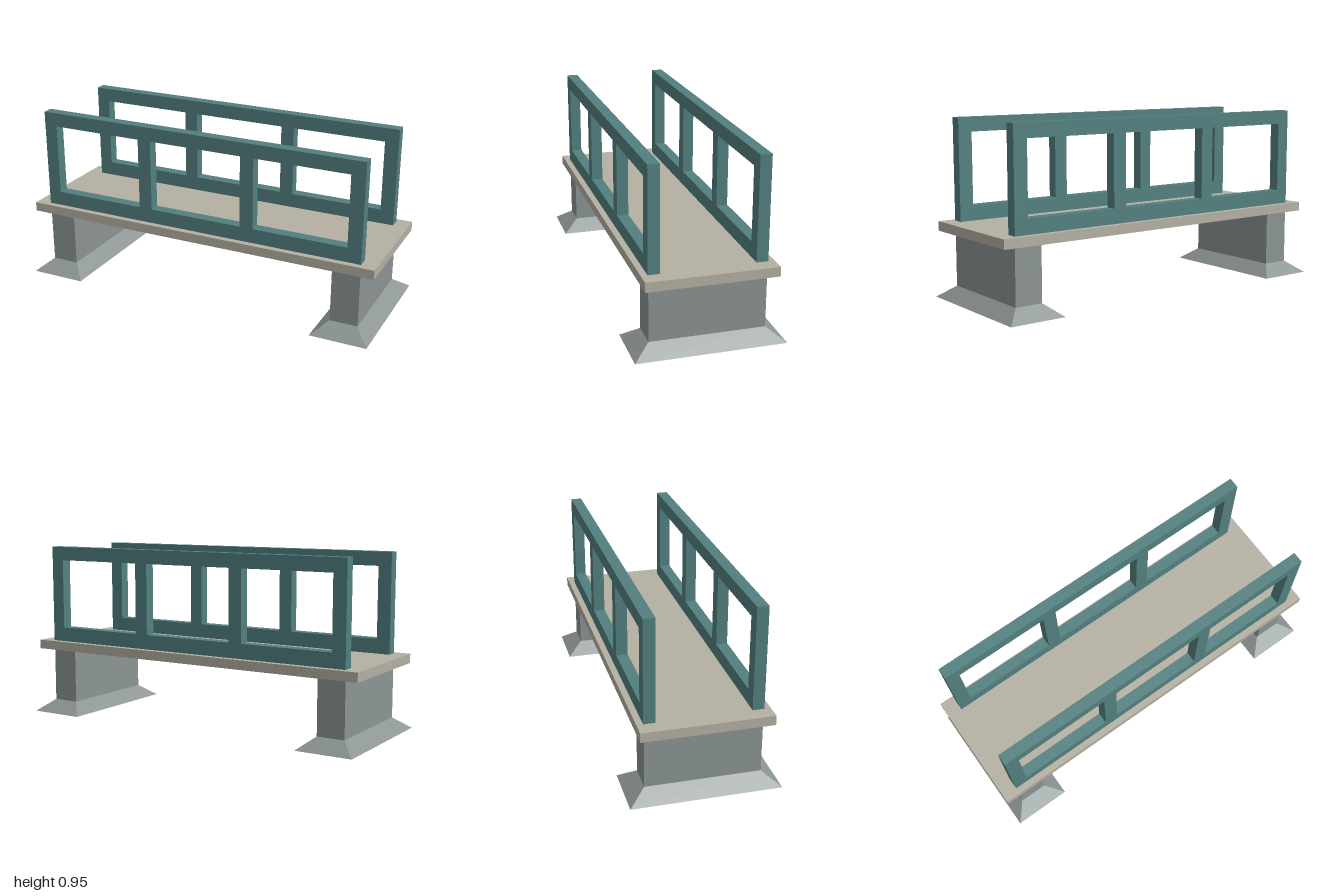
import * as THREE from 'three';

const material = (color) => new THREE.MeshStandardMaterial({ color, flatShading: true });

function addBox(parent, name, mat, [w, h, d], [x, y, z]) {
  const mesh = new THREE.Mesh(new THREE.BoxGeometry(w, h, d), mat);
  mesh.name = name;
  mesh.position.set(x, y, z);
  parent.add(mesh);
  return mesh;
}

function rectangle(PathType, x0, y0, x1, y1) {
  return new PathType([[x0, y0], [x1, y0], [x1, y1], [x0, y1]].map(([x, y]) => new THREE.Vector2(x, y)));
}

// Box whose top face is narrowed to the given width and depth
function taperTop(geometry, topWidth, topDepth) {
  const p = geometry.attributes.position;
  for (let i = 0; i < p.count; i++) {
    if (p.getY(i) > 0) {
      p.setX(i, Math.sign(p.getX(i)) * topWidth / 2);
      p.setZ(i, Math.sign(p.getZ(i)) * topDepth / 2);
    }
  }
  geometry.computeVertexNormals();
}

export function createModel() {
  const bridge = new THREE.Group();
  bridge.name = 'footbridge';
  const deckMat = material(0xb5b0a3);
  const stoneMat = material(0x8c9494);
  const railMat = material(0x538080);

  // Deck slab
  addBox(bridge, 'deck', deckMat, [2, 0.05, 0.666], [0, 0.386, 0]);

  // Piers on flared footings
  for (const [side, x] of [['right', -0.846], ['left', 0.846]]) {
    const support = new THREE.Group();
    support.name = side + 'Support';
    support.position.x = x;
    addBox(support, 'pier', stoneMat, [0.15, 0.297, 0.594], [0, 0.2125, 0]);
    const footing = addBox(support, 'footing', stoneMat, [0.308, 0.064, 0.768], [0, 0.032, 0]);
    taperTop(footing.geometry, 0.15, 0.594);
    bridge.add(support);
  }

  // Railings: one frame with three openings on each side
  const frame = rectangle(THREE.Shape, -0.921, 0.411, 0.921, 0.95);
  for (const [x0, x1] of [[-0.848, -0.335], [-0.261, 0.259], [0.333, 0.846]]) {
    frame.holes.push(rectangle(THREE.Path, x0, 0.49, x1, 0.875));
  }
  const railing = new THREE.ExtrudeGeometry(frame, { depth: 0.06, bevelEnabled: false });
  for (const [name, z] of [['frontRailing', 0.24], ['backRailing', -0.3]]) {
    const mesh = new THREE.Mesh(railing, railMat);
    mesh.name = name;
    mesh.position.z = z;
    bridge.add(mesh);
  }

  return bridge;
}
